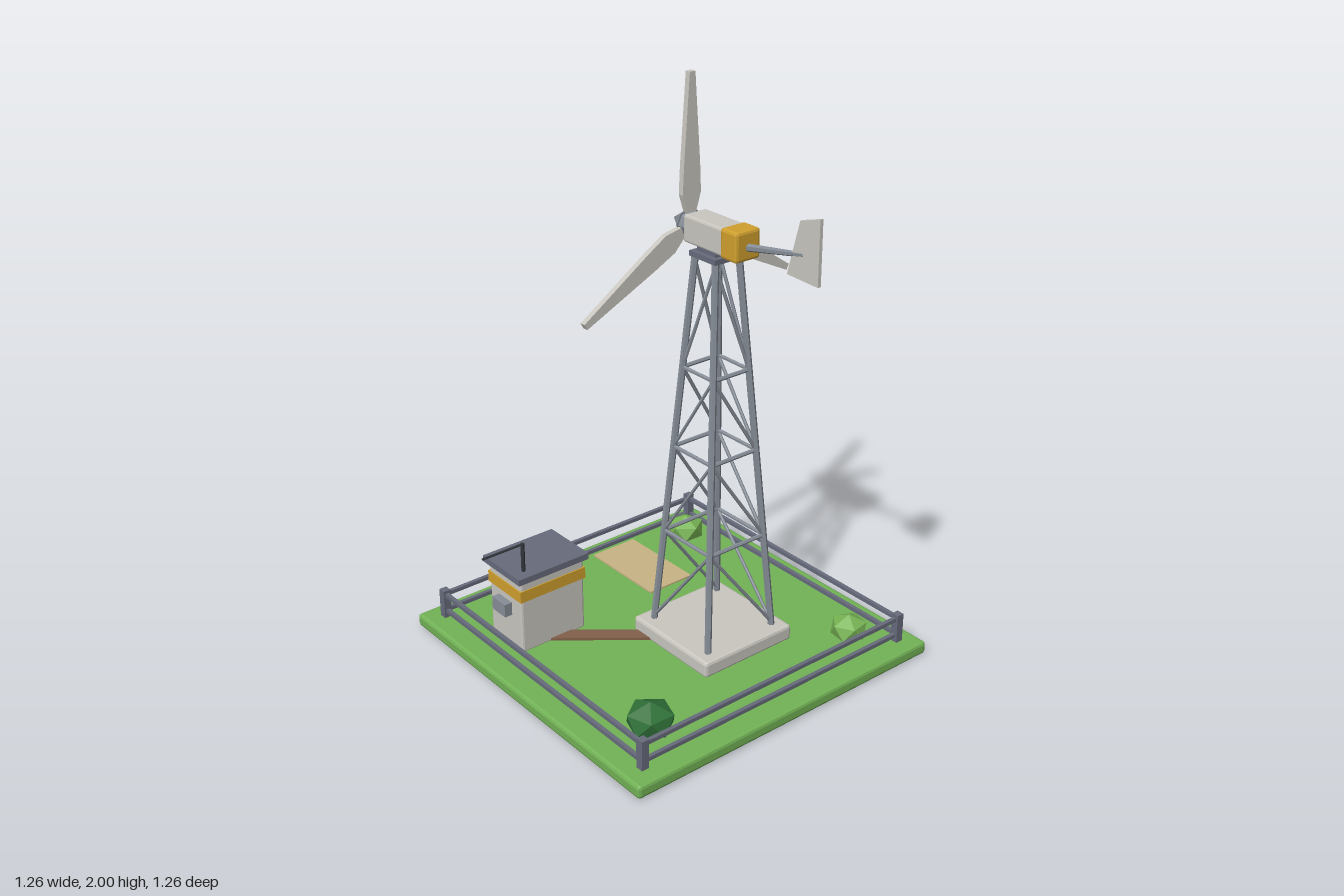
import * as THREE from 'three';
import { RoundedBoxGeometry } from 'three/addons/geometries/RoundedBoxGeometry.js';

const paint = (name, color) => {
  const m = new THREE.MeshStandardMaterial({ color });
  m.name = name;
  return m;
};

// Faceted normals for the low-poly look
function facet(geometry) {
  const g = geometry.index ? geometry.toNonIndexed() : geometry;
  g.computeVertexNormals();
  return g;
}

export function createModel() {
  const model = new THREE.Group();
  model.name = 'windTurbineYard';

  const grass = paint('grass', 0x72b256);
  const leafLight = paint('leafLight', 0x78b454);
  const leafDark = paint('leafDark', 0x2f7038);
  const offWhite = paint('offWhite', 0xc9c6bf);
  const slate = paint('slate', 0x676b7b);
  const steel = paint('steel', 0x868d97);
  const yellow = paint('yellow', 0xd0a02e);
  const sand = paint('sand', 0xc8b384);
  const brown = paint('brown', 0x80604a);
  const dark = paint('dark', 0x33373b);

  const group = (name) => {
    const g = new THREE.Group();
    g.name = name;
    model.add(g);
    return g;
  };
  const add = (parent, name, geometry, material, x = 0, y = 0, z = 0) => {
    const mesh = new THREE.Mesh(facet(geometry), material);
    mesh.name = name;
    mesh.position.set(x, y, z);
    parent.add(mesh);
    return mesh;
  };
  // Box given by its extents, with an optional chamfer
  const box = (parent, name, material, [x0, x1], [y0, y1], [z0, z1], bevel = 0) => {
    const s = [x1 - x0, y1 - y0, z1 - z0];
    const g = bevel ? new RoundedBoxGeometry(...s, 1, bevel) : new THREE.BoxGeometry(...s);
    return add(parent, name, g, material, (x0 + x1) / 2, (y0 + y1) / 2, (z0 + z1) / 2);
  };
  // Straight rod between two points
  const rod = (parent, name, material, a, b, r, sides = 6, rEnd = r) => {
    const dir = b.clone().sub(a);
    const mesh = add(parent, name, new THREE.CylinderGeometry(rEnd, r, dir.length(), sides), material);
    mesh.position.copy(a).add(b).multiplyScalar(0.5);
    mesh.quaternion.setFromUnitVectors(new THREE.Vector3(0, 1, 0), dir.normalize());
    return mesh;
  };
  const v = (x, y, z) => new THREE.Vector3(x, y, z);
  // Flat plate from an outline, centred on its thickness
  const plate = (points, depth) => new THREE.ExtrudeGeometry(
    new THREE.Shape(points.map(([x, y]) => new THREE.Vector2(x, y))),
    { depth, bevelEnabled: false }).translate(0, 0, -depth / 2);

  // Ground
  const ground = group('ground');
  box(ground, 'lawn', grass, [-0.63, 0.63], [0.004, 0.05], [-0.63, 0.63], 0.011);
  box(ground, 'sandPatch', sand, [0.092, 0.28], [0.046, 0.056], [-0.555, -0.213]);
  const path = add(ground, 'path', new THREE.BoxGeometry(0.42, 0.012, 0.053), brown, -0.2, 0.053, -0.093);
  path.rotation.y = -0.675;

  // Fence
  const fence = group('fence');
  const F = 0.557;
  for (const s of [-1, 1]) {
    for (const t of [-1, 1]) {
      box(fence, 'fencePost', slate, [s * F - 0.014, s * F + 0.014], [0, 0.156], [t * F - 0.014, t * F + 0.014]);
    }
    for (const y of [0.075, 0.138]) {
      box(fence, 'fenceRail', slate, [-F, F], [y - 0.007, y + 0.007], [s * F - 0.007, s * F + 0.007]);
      box(fence, 'fenceRail', slate, [s * F - 0.007, s * F + 0.007], [y - 0.007, y + 0.007], [-F, F]);
    }
  }

  // Bushes
  const bush = (name, material, x, z, r, top, turn) => {
    const g = new THREE.IcosahedronGeometry(r / 0.894, 0);
    const half = (top - 0.048) / 2;
    g.rotateZ(-0.5536).rotateY(turn).scale(1, half * 0.894 / r, 1);
    add(model, name, g, material, x, 0.048 + half, z);
  };
  bush('darkBush', leafDark, -0.433, 0.44, 0.078, 0.172, 0.3);
  bush('backBush', leafLight, 0.44, -0.435, 0.066, 0.155, 0.9);
  bush('frontBush', leafLight, 0.43, 0.45, 0.061, 0.15, 0.5);

  // Lattice tower
  const CX = 0.0925, CZ = 0.127;
  const tower = group('tower');
  box(tower, 'footing', offWhite, [-0.1, 0.285], [0.045, 0.104], [-0.067, 0.319], 0.011);
  const corner = (sx, sz, y) => {
    const h = THREE.MathUtils.mapLinear(y, 0.1, 1.45, 0.143, 0.048);
    return v(CX + sx * h, y, CZ + sz * h);
  };
  const levels = [0.115, 0.453, 0.77, 1.057, 1.43];
  const corners = [[1, 1], [-1, 1], [-1, -1], [1, -1]];
  // Each face: diagonal runs from the first corner (low) to the second (high)
  const faces = [[0, 1], [2, 1], [3, 2], [0, 3]];
  for (const [sx, sz] of corners) {
    rod(tower, 'leg', steel, corner(sx, sz, 0.095), corner(sx, sz, 1.45), 0.012);
  }
  for (const [a, b] of faces) {
    for (let i = 0; i < 4; i++) {
      rod(tower, 'diagonal', steel, corner(...corners[a], levels[i]), corner(...corners[b], levels[i + 1]), 0.006);
      if (i) rod(tower, 'crossbar', steel, corner(...corners[a], levels[i]), corner(...corners[b], levels[i]), 0.007);
    }
  }
  box(tower, 'topPlate', slate, [CX - 0.062, CX + 0.062], [1.438, 1.456], [CZ - 0.062, CZ + 0.062]);
  box(tower, 'turntable', slate, [CX - 0.045, CX + 0.045], [1.45, 1.47], [CZ - 0.045, CZ + 0.045]);

  // Turbine head
  const HY = 1.512;
  const head = group('turbineHead');
  box(head, 'nacelle', offWhite, [CX - 0.046, CX + 0.046], [HY - 0.046, HY + 0.046], [0.015, 0.21], 0.008);
  box(head, 'rearCap', yellow, [CX - 0.05, CX + 0.05], [HY - 0.05, HY + 0.05], [0.195, 0.272], 0.01);
  const hub = new THREE.CylinderGeometry(0.044, 0.044, 0.045, 8).rotateX(Math.PI / 2);
  add(head, 'hub', hub, steel, CX, HY, 0);
  const nose = new THREE.ConeGeometry(0.05, 0.075, 8).rotateX(-Math.PI / 2);
  add(head, 'noseCone', nose, steel, CX, HY, -0.048);

  // Blades
  for (let i = 0; i < 3; i++) {
    const half = [[0.015, 0.03], [0.037, 0.1], [0.033, 0.19], [0.011, 0.488]];
    const outline = [...half, ...half.map(([x, y]) => [-x, y]).reverse()];
    const blade = add(head, 'blade', plate(outline, 0.02), offWhite, CX, HY, -0.007);
    blade.rotation.z = i * Math.PI * 2 / 3;
  }

  // Tail boom and vane
  rod(head, 'tailBoom', steel, v(CX, 1.506, 0.265), v(CX, 1.552, 0.515), 0.013, 6, 0.008);
  const vane = plate([[-0.583, 1.68], [-0.5, 1.655], [-0.45, 1.475], [-0.583, 1.47]], 0.012);
  add(head, 'tailVane', vane.rotateY(Math.PI / 2), offWhite, CX);

  // Equipment hut
  const hut = group('hut');
  box(hut, 'hutBody', offWhite, [-0.481, -0.22], [0.045, 0.325], [-0.378, -0.192], 0.008);
  box(hut, 'hutBand', yellow, [-0.485, -0.216], [0.246, 0.288], [-0.382, -0.188]);
  box(hut, 'hutRoof', slate, [-0.495, -0.207], [0.321, 0.344], [-0.395, -0.179]);
  box(hut, 'cabinet', steel, [-0.345, -0.26], [0.15, 0.267], [-0.407, -0.37]);
  box(hut, 'meterBox', steel, [-0.51, -0.475], [0.172, 0.22], [-0.325, -0.25]);
  const bolt = plate([[0.008, 0.035], [-0.018, -0.004], [-0.002, -0.004], [-0.01, -0.035], [0.018, 0.007], [0.002, 0.007]], 0.006);
  add(hut, 'hazardBolt', bolt.rotateY(Math.PI), dark, -0.407, 0.127, -0.379);
  rod(hut, 'mast', dark, v(-0.447, 0.335, -0.222), v(-0.447, 0.45, -0.222), 0.007);
  rod(hut, 'mastArm', dark, v(-0.442, 0.447, -0.222), v(-0.606, 0.447, -0.222), 0.004);

  return model;
}
